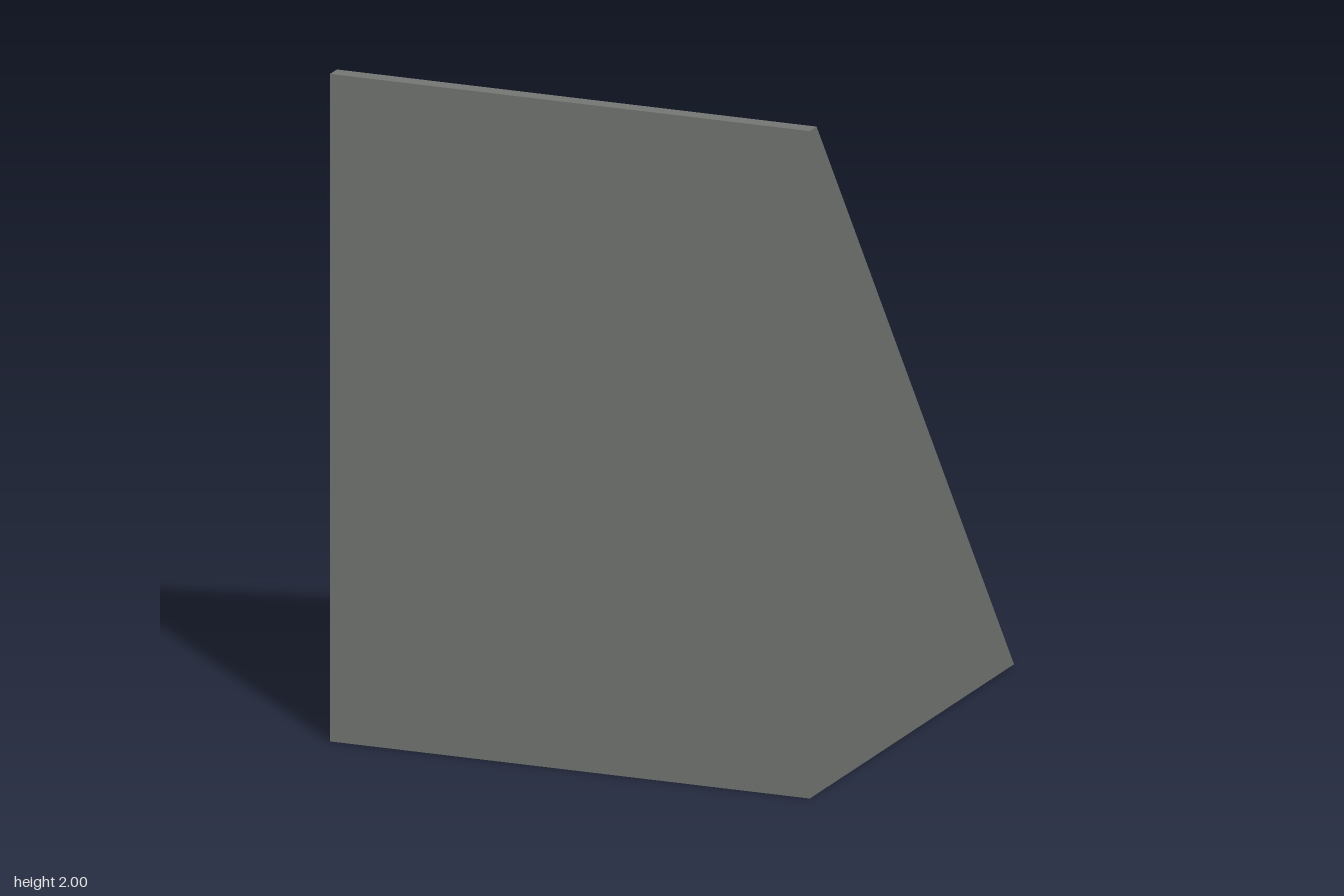
import * as THREE from 'three';

const RISE = 2 / 1.45;                       // slope of the ramp face
const DEPTH = 0.08;                          // groove depth square to the slope
const slopeY = (z) => RISE * (z + 0.75);
const NY = 0.587, NZ = 0.81;                 // inward direction of the groove

// Jagged groove rim as [x, z]: up the right flank, round the tip, back down the left
const rim = [
  [-0.22, -0.75], [-0.11, -0.635], [-0.096, -0.55], [-0.056, -0.51], [-0.096, -0.46],
  [-0.072, -0.42], [-0.108, -0.38], [-0.116, -0.31], [-0.088, -0.28], [-0.15, -0.176],
  [-0.14, -0.14], [-0.076, -0.036], [-0.118, 0.052], [-0.12, 0.112], [-0.106, 0.184],
  [-0.108, 0.244], [-0.06, 0.284], [-0.1, 0.35], [-0.056, 0.43], [-0.004, 0.44],
  [0.044, 0.44], [0.068, 0.43], [0.092, 0.4], [0.094, 0.384], [0.06, 0.316],
  [0.09, 0.26], [0.06, 0.19], [0.084, 0.15], [0.088, 0.104], [0.06, 0.056],
  [0.084, -0.024], [0.076, -0.108], [0.09, -0.152], [0.076, -0.196], [0.1, -0.276],
  [0.096, -0.336], [0.116, -0.388], [0.092, -0.428], [0.136, -0.516], [0.136, -0.576],
  [0.172, -0.62], [0.224, -0.638], [0.172, -0.688], [0.212, -0.75],
];

// Depth runs out toward the mouth, where a gentle sill reaches the base edge
const depthAt = (z) => Math.min(DEPTH, 0.726 * (z + 0.75));
const rimPoint = ([x, z]) => [x, slopeY(z), z];
const floorPoint = ([x, z]) => {
  const d = depthAt(z);
  return [x, slopeY(z) - NY * d, z + NZ * d];
};

// Flat quads from corner lists, counter-clockwise from outside
function quads(list) {
  const pos = [];
  for (const [a, b, c, d] of list) pos.push(...a, ...b, ...c, ...a, ...c, ...d);
  const g = new THREE.BufferGeometry();
  g.setAttribute('position', new THREE.Float32BufferAttribute(pos, 3));
  g.computeVertexNormals();
  return g;
}

// Upward-facing sheet over an [x, z] outline with its height given by a rule
function sheet(outline, height) {
  const g = new THREE.ShapeGeometry(
    new THREE.Shape(outline.map(([x, z]) => new THREE.Vector2(x, -z))));
  const p = g.attributes.position;
  for (let i = 0; i < p.count; i++) {
    const z = -p.getY(i);
    p.setXYZ(i, p.getX(i), height(z), z);
  }
  g.computeVertexNormals();
  return g;
}

export function createModel() {
  const group = new THREE.Group();
  const stone = new THREE.MeshStandardMaterial({ color: 0x747774 });
  stone.name = 'grey stone';
  const clay = new THREE.MeshStandardMaterial({ color: 0xa4744e });
  clay.name = 'brown clay';
  const add = (name, geometry, material) => {
    const mesh = new THREE.Mesh(geometry, material);
    mesh.name = name;
    group.add(mesh);
  };

  // Wedge block: front, top, base and both sides
  const w = 0.75;
  const profile = [[0, -0.75], [0, 0.75], [2, 0.75], [2, 0.7]];
  const [lb, lf, lt, lr] = profile.map(([y, z]) => [-w, y, z]);
  const [rb, rf, rt, rr] = profile.map(([y, z]) => [w, y, z]);
  add('wedgeBody', quads([
    [lf, rf, rt, lt], [lt, rt, rr, lr], [lb, rb, rf, lf],
    [lb, lf, lt, lr], [rb, rr, rt, rf],
  ]), stone);

  // Sloping face, cut away along the groove rim
  add('slopeFace', sheet(
    [[-w, -0.75], ...rim, [w, -0.75], [w, 0.7], [-w, 0.7]], slopeY), stone);

  // Groove walls
  const walls = [];
  for (let i = 0; i < rim.length - 1; i++) {
    const a = rim[i], b = rim[i + 1];
    walls.push([rimPoint(a), rimPoint(b), floorPoint(b), floorPoint(a)]);
  }
  add('grooveWalls', quads(walls), stone);

  // Groove floor, parallel to the slope
  const flat = (p) => { const [x, , z] = floorPoint(p); return [x, z]; };
  const deep = rim.filter(([, z]) => depthAt(z) >= DEPTH);
  add('grooveFloor', sheet(deep.map(flat), (z) => slopeY(z) - DEPTH * (NY + RISE * NZ)), clay);

  // Sill at the groove mouth
  const n = rim.length;
  const mouth = [rim[0], rim[1], rim[n - 3], rim[n - 2], rim[n - 1]];
  add('mouthSill', sheet(mouth.map(flat), (z) => 0.6 * (z + 0.75)), stone);

  return group;
}
